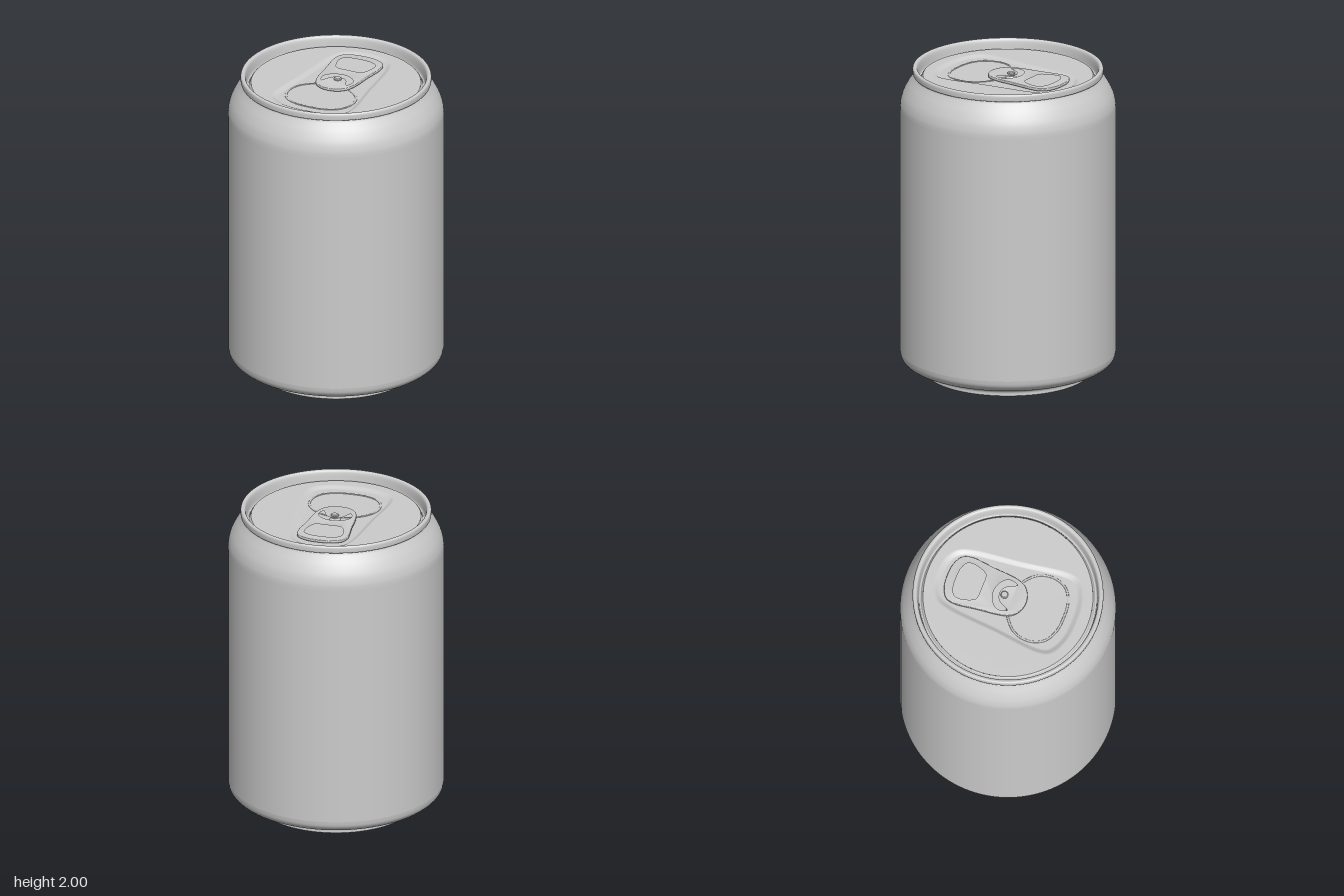
import * as THREE from 'three';
import { toCreasedNormals } from 'three/addons/utils/BufferGeometryUtils.js';

const material = new THREE.MeshStandardMaterial({ color: 0xcccccc });
const SEGMENTS = 128;
const LID_Y = 1.945, FLOOR_Y = 1.93;

function part(name, geometry) {
  const mesh = new THREE.Mesh(geometry, material);
  mesh.name = name;
  return mesh;
}

// Revolved part; smooth profiles run through a spline
function turned(name, profile, samples = 0) {
  let points = profile.map(([r, y]) => new THREE.Vector2(r, y));
  if (samples) points = new THREE.SplineCurve(points).getPoints(samples);
  return part(name, new THREE.LatheGeometry(points, SEGMENTS));
}

// Closed curve, symmetric about x = 0, from the (x, z) points of its +x half
function outline(half, y = 0) {
  const mirrored = half.filter(([x]) => x > 0).reverse().map(([x, z]) => [-x, z]);
  const points = [...half, ...mirrored].map(([x, z]) => new THREE.Vector3(x, y, z));
  return new THREE.CatmullRomCurve3(points, true, 'centripetal');
}

const flatPoints = (half, n) =>
  outline(half).getSpacedPoints(n).slice(0, n).map(p => new THREE.Vector2(p.x, -p.z));

// Lid panel: concentric loops from the round edge down into the sunken area
function lidGeometry() {
  const n = 120;
  const outer = outline([[0, -0.475], [0.1, -0.462], [0.18, -0.41], [0.213, -0.33], [0.25, 0],
    [0.285, 0.31], [0.262, 0.385], [0.15, 0.447], [0, 0.465]]).getSpacedPoints(n);
  const inner = outline([[0, -0.43], [0.085, -0.42], [0.148, -0.38], [0.175, -0.31], [0.212, 0],
    [0.245, 0.3], [0.228, 0.355], [0.14, 0.405], [0, 0.42]]).getSpacedPoints(n);
  const loops = [outer.slice(0, n).map(p => p.clone().setLength(0.53).setY(LID_Y))];
  const steps = 8;
  for (let k = 0; k <= steps; k++) {
    const t = k / steps;
    const y = THREE.MathUtils.lerp(LID_Y, FLOOR_Y, THREE.MathUtils.smoothstep(t, 0, 1));
    loops.push(outer.slice(0, n).map((p, i) => p.clone().lerp(inner[i], t).setY(y)));
  }
  const positions = loops.flat().flatMap(p => [p.x, p.y, p.z]);
  const index = [];
  for (let k = 0; k < loops.length - 1; k++) {
    for (let i = 0; i < n; i++) {
      const j = (i + 1) % n, a = k * n, b = a + n;
      index.push(a + i, b + i, a + j, a + j, b + i, b + j);
    }
  }
  // Flat floor as a fan around the centre
  const last = (loops.length - 1) * n, centre = loops.length * n;
  positions.push(0, FLOOR_Y, 0);
  for (let i = 0; i < n; i++) index.push(last + i, centre, last + (i + 1) % n);
  const geometry = new THREE.BufferGeometry();
  geometry.setAttribute('position', new THREE.Float32BufferAttribute(positions, 3));
  geometry.setIndex(index);
  geometry.computeVertexNormals();
  return geometry;
}

// Pull tab: rounded plate with a finger hole and a crescent around the rivet tongue
function tabGeometry() {
  const shape = new THREE.Shape(flatPoints([[0, -0.405], [0.08, -0.396], [0.145, -0.36],
    [0.163, -0.305], [0.147, -0.15], [0.128, 0.015], [0.102, 0.075], [0.055, 0.11], [0, 0.121]], 80));
  const fingerHole = [[0, -0.35], [0.07, -0.344], [0.118, -0.318], [0.127, -0.28],
    [0.11, -0.21], [0.09, -0.178], [0.065, -0.17], [0, -0.17]];
  const crescent = [[0, -0.1], [0.06, -0.085], [0.1, -0.05], [0.109, -0.02], [0.1, 0.02],
    [0.088, 0.036], [0.074, 0.015], [0.045, -0.037], [0, -0.054]];
  shape.holes.push(new THREE.Path(flatPoints(fingerHole, 56)), new THREE.Path(flatPoints(crescent, 64)));
  const geometry = new THREE.ExtrudeGeometry(shape, {
    depth: 0.01, bevelEnabled: true, bevelThickness: 0.004, bevelSize: 0.004,
    bevelOffset: -0.004, bevelSegments: 3,
  });
  geometry.rotateX(-Math.PI / 2).translate(0, FLOOR_Y + 0.012, 0);
  return toCreasedNormals(geometry, 0.7);
}

export function createModel() {
  const can = new THREE.Group();
  can.name = 'drinkCan';

  // Base: hollow dome and the narrow ring the can stands on
  can.add(turned('baseDome', [[0, 0.16], [0.15, 0.148], [0.3, 0.11], [0.42, 0.055], [0.488, 0.006]], 24));
  can.add(turned('baseRing', [[0.488, 0.006], [0.493, 0.001], [0.501, 0], [0.51, 0.002], [0.514, 0.008]], 10));

  // Body: foot flare, straight wall, shoulder
  can.add(turned('footFlare', [[0.514, 0.008], [0.514, 0.026], [0.525, 0.04], [0.56, 0.053],
    [0.61, 0.068], [0.645, 0.088], [0.667, 0.115], [0.674, 0.15]], 32));
  can.add(turned('wall', [[0.674, 0.15], [0.674, 1.74]]));
  can.add(turned('shoulder', [[0.674, 1.74], [0.671, 1.775], [0.657, 1.825], [0.63, 1.878],
    [0.602, 1.92], [0.587, 1.943], [0.582, 1.957]], 32));

  // Seamed rim, and the groove running inside it
  can.add(turned('rimUnderside', [[0.58, 1.956], [0.592, 1.956]]));
  can.add(turned('rim', [[0.592, 1.956], [0.595, 1.962], [0.595, 1.988], [0.59, 1.998], [0.582, 2],
    [0.572, 1.997], [0.566, 1.988], [0.562, 1.97], [0.558, 1.935]], 36));
  can.add(turned('lidGroove', [[0.558, 1.935], [0.555, 1.922], [0.549, 1.918], [0.543, 1.922],
    [0.538, 1.936], [0.53, LID_Y]], 20));

  // Lid with its sunken panel
  can.add(part('lid', lidGeometry()));

  // Score line around the mouth
  const mouth = outline([[0, 0.01], [0.07, 0.022], [0.13, 0.05], [0.195, 0.11], [0.222, 0.18],
    [0.217, 0.255], [0.18, 0.32], [0.1, 0.362], [0, 0.372]]);
  const score = new THREE.TubeGeometry(mouth, 128, 0.007, 8, true);
  score.scale(1, 0.6, 1).translate(0, FLOOR_Y, 0);
  can.add(part('mouthScore', score));

  // Pull tab and its rivet
  can.add(part('pullTab', tabGeometry()));
  const rivet = turned('rivet', [[0.035, FLOOR_Y], [0.024, 1.945], [0.024, 1.963], [0.019, 1.968], [0, 1.969]]);
  rivet.geometry = toCreasedNormals(rivet.geometry, 0.6);
  rivet.position.z = -0.024;
  can.add(rivet);

  return can;
}
